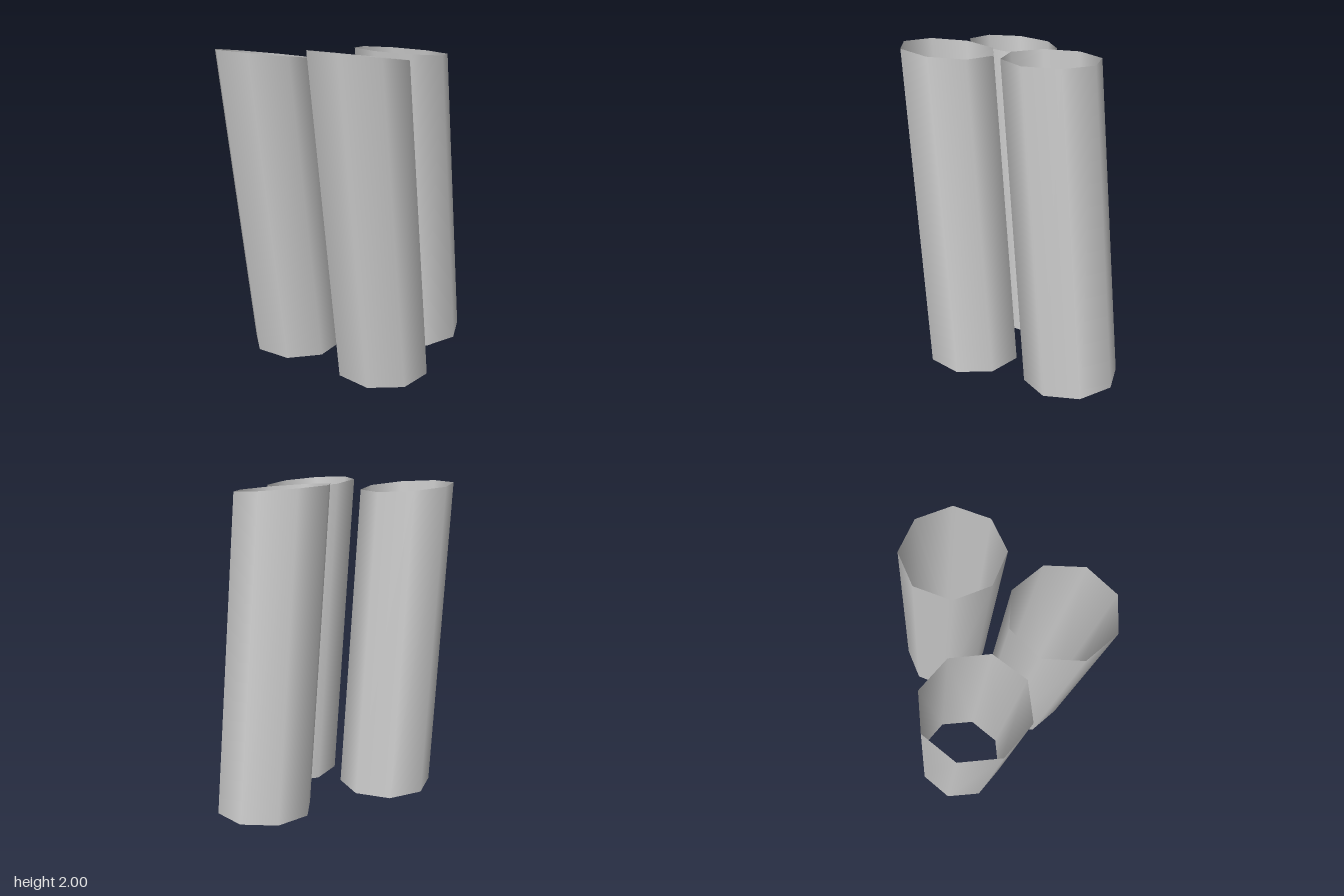
import * as THREE from 'three';

const LEAN = 0.104; // forward drift per unit of height

// Open eight-sided tube: rims are tilted planes, then the whole tube leans forward.
// top and bottom are [centre height, slope along x, slope along z].
function makeTube({ name, x, z, angle, radius, top, bottom }) {
  const geo = new THREE.CylinderGeometry(radius, radius, 2, 8, 1, true, angle);
  const pos = geo.attributes.position;
  for (let i = 0; i < pos.count; i++) {
    const [h, sx, sz] = pos.getY(i) > 0 ? top : bottom;
    pos.setY(i, h + sx * pos.getX(i) + sz * pos.getZ(i));
  }
  const shear = new THREE.Matrix4().set(
    1, 0, 0, x,
    0, 1, 0, 0,
    0, LEAN, 1, z,
    0, 0, 0, 1
  );
  geo.applyMatrix4(shear);
  const mesh = new THREE.Mesh(
    geo,
    new THREE.MeshStandardMaterial({ color: 0xcccccc, side: THREE.DoubleSide })
  );
  mesh.name = name;
  return mesh;
}

export function createModel() {
  const group = new THREE.Group();
  group.name = 'tubeCluster';
  const tubes = [
    { name: 'backTube', x: 0.049, z: -0.497, angle: 0.207, radius: 0.29,
      top: [1.935, -0.035, 0.07], bottom: [0.018, -0.03, -0.045] },
    { name: 'frontRightTube', x: -0.319, z: 0.275, angle: -0.1, radius: 0.292,
      top: [1.94, 0, 0.12], bottom: [0.037, 0, 0.02] },
    { name: 'frontLeftTube', x: 0.327, z: 0.108, angle: -0.268, radius: 0.29,
      top: [1.963, 0, 0.13], bottom: [0.035, 0, 0.017] },
  ];
  for (const t of tubes) group.add(makeTube(t));
  return group;
}
